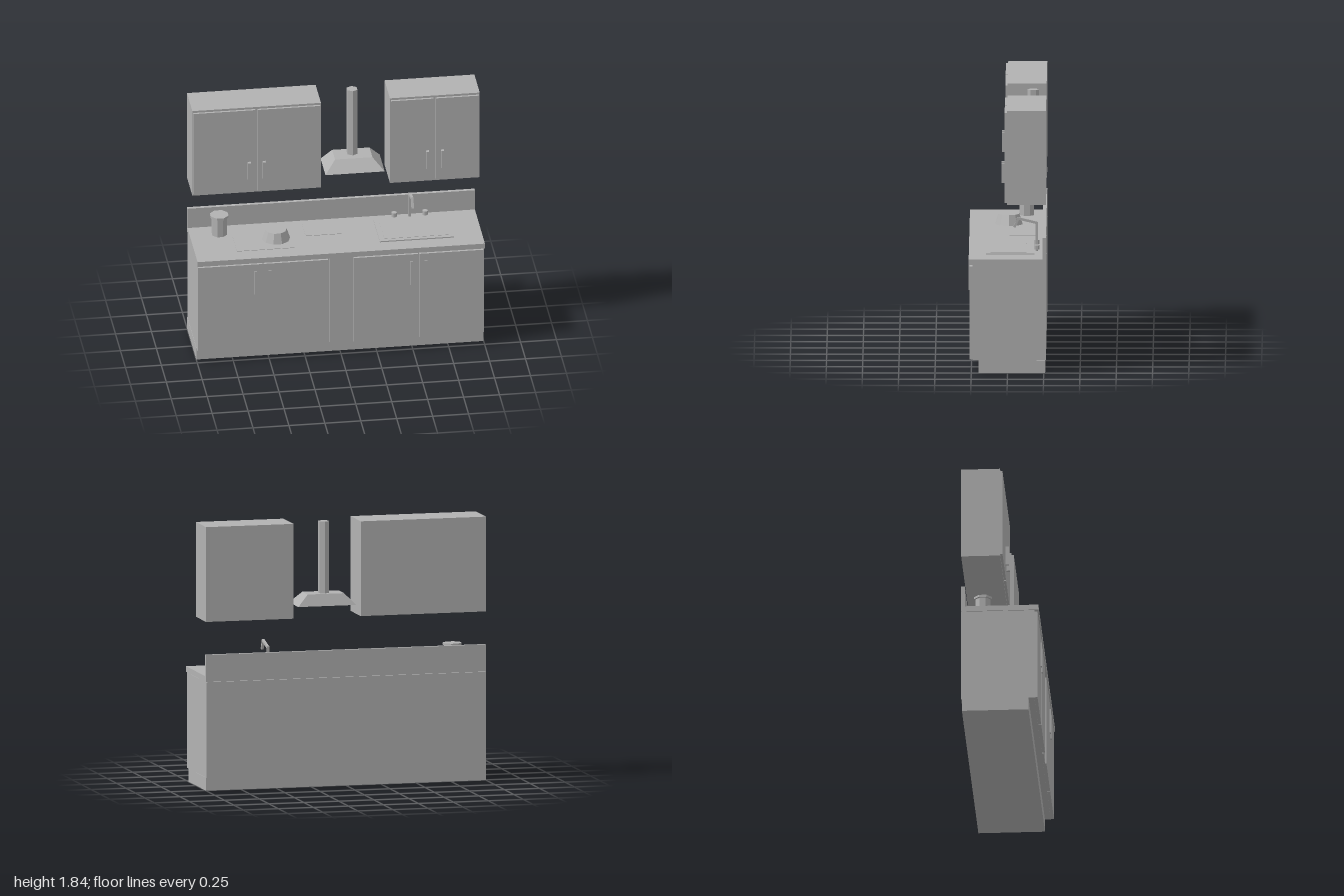
import * as THREE from 'three';

const grey = new THREE.MeshStandardMaterial({ color: 0xb2b2b2, flatShading: true });
grey.name = 'plain grey';

export function createModel() {
  const model = new THREE.Group();
  model.name = 'kitchenUnit';

  const add = (name, geometry, parent = model) => {
    const mesh = new THREE.Mesh(geometry, grey);
    mesh.name = name;
    parent.add(mesh);
    return mesh;
  };
  // Box given by its limits on each axis
  const box = (name, [x0, x1], [y0, y1], [z0, z1], parent) => {
    const mesh = add(name, new THREE.BoxGeometry(x1 - x0, y1 - y0, z1 - z0), parent);
    mesh.position.set((x0 + x1) / 2, (y0 + y1) / 2, (z0 + z1) / 2);
    return mesh;
  };
  // Upright faceted cylinder standing at height y
  const post = (name, rTop, rBottom, height, sides, x, y, z, turn = 0, parent = model) => {
    const mesh = add(name, new THREE.CylinderGeometry(rTop, rBottom, height, sides), parent);
    mesh.position.set(x, y + height / 2, z);
    mesh.rotation.y = turn;
    return mesh;
  };
  // Square bar between two points
  const bar = (name, a, b, width, parent) => {
    const from = new THREE.Vector3(...a), to = new THREE.Vector3(...b);
    const mesh = add(name, new THREE.BoxGeometry(width, width, from.distanceTo(to) + width * 0.6), parent);
    mesh.position.copy(from).add(to).multiplyScalar(0.5);
    mesh.lookAt(to);
    return mesh;
  };

  // Base cabinets
  const base = new THREE.Group();
  base.name = 'baseCabinets';
  model.add(base);
  box('plinth', [-1, 1], [0, 0.09], [-0.26, 0.2], base);
  box('baseCarcass', [-0.998, 0.998], [0.09, 0.755], [-0.265, 0.24], base);
  box('centrePanel', [-0.08, 0.08], [0.09, 0.75], [0.24, 0.252], base);
  for (const [x0, x1] of [[-0.996, -0.547], [-0.539, -0.092], [0.088, 0.535], [0.545, 0.992]])
    box('baseDoor', [x0, x1], [0.092, 0.745], [0.24, 0.262], base);
  for (const x of [-0.595, -0.497, 0.49, 0.59])
    box('baseHandle', [x - 0.01, x + 0.01], [0.51, 0.69], [0.262, 0.27], base);

  // Worktop and splashback
  box('worktop', [-1, 1], [0.757, 0.795], [-0.265, 0.268]);
  box('splashback', [-1, 1], [0.795, 0.945], [-0.265, -0.24]);

  // Wall cabinets
  const wallCabinet = (name, x0, x1, split) => {
    const group = new THREE.Group();
    group.name = name;
    model.add(group);
    box('wallCarcass', [x0, x1], [1.175, 1.835], [-0.265, 0.004], group);
    for (const [a, b] of [[x0 + 0.006, split - 0.008], [split + 0.008, x1 - 0.006]])
      box('wallDoor', [a, b], [1.19, 1.82], [0.004, 0.02], group);
    for (const side of [-1, 1]) {
      const x = split + side * 0.052;
      box('wallHandle', [x - 0.01, x + 0.01], [1.285, 1.42], [0.02, 0.044], group);
    }
  };
  wallCabinet('rightWallCabinet', -1, -0.105, -0.555);
  wallCabinet('leftWallCabinet', 0.375, 1, 0.685);

  // Extractor hood: a box whose top is drawn in, with a hexagonal flue
  const hood = new THREE.BoxGeometry(0.412, 0.08, 0.25);
  const p = hood.attributes.position;
  for (let i = 0; i < p.count; i++) {
    if (p.getY(i) > 0) {
      p.setX(i, Math.sign(p.getX(i)) * 0.13);
      p.setZ(i, Math.sign(p.getZ(i)) * 0.0725 - 0.0175);
    }
  }
  hood.computeVertexNormals();
  add('extractorHood', hood).position.set(0.136, 1.295, -0.145);
  post('flue', 0.04, 0.04, 0.5, 6, 0.136, 1.335, -0.174);

  // Hob plates and cookware
  box('hob', [-0.71, -0.31], [0.795, 0.798], [-0.1, 0.15]);
  box('choppingPlate', [-0.21, 0.04], [0.795, 0.798], [-0.2, -0.01]);
  post('pot', 0.074, 0.098, 0.072, 10, -0.417, 0.798, -0.003, Math.PI / 10);
  post('canister', 0.054, 0.054, 0.138, 8, -0.795, 0.795, -0.125, Math.PI / 8);
  post('canisterLid', 0.066, 0.066, 0.016, 8, -0.795, 0.931, -0.125, Math.PI / 8);

  // Sink
  box('sinkRim', [0.285, 0.8], [0.795, 0.803], [-0.185, 0.15]);
  box('sinkBasin', [0.32, 0.765], [0.803, 0.805], [-0.13, 0.12]);

  // Tap with bent spout and two knobs
  const tap = new THREE.Group();
  tap.name = 'tap';
  model.add(tap);
  const path = [[0.54, 0.795, -0.2], [0.54, 0.972, -0.2], [0.54, 1.003, -0.073], [0.54, 0.945, -0.046]];
  for (let i = 0; i < 3; i++) bar('spout', path[i], path[i + 1], 0.017, tap);
  for (const x of [0.432, 0.648]) {
    post('knobStem', 0.01, 0.01, 0.012, 8, x, 0.795, -0.2, 0, tap);
    post('knob', 0.02, 0.02, 0.03, 8, x, 0.805, -0.2, Math.PI / 8, tap);
  }

  return model;
}
